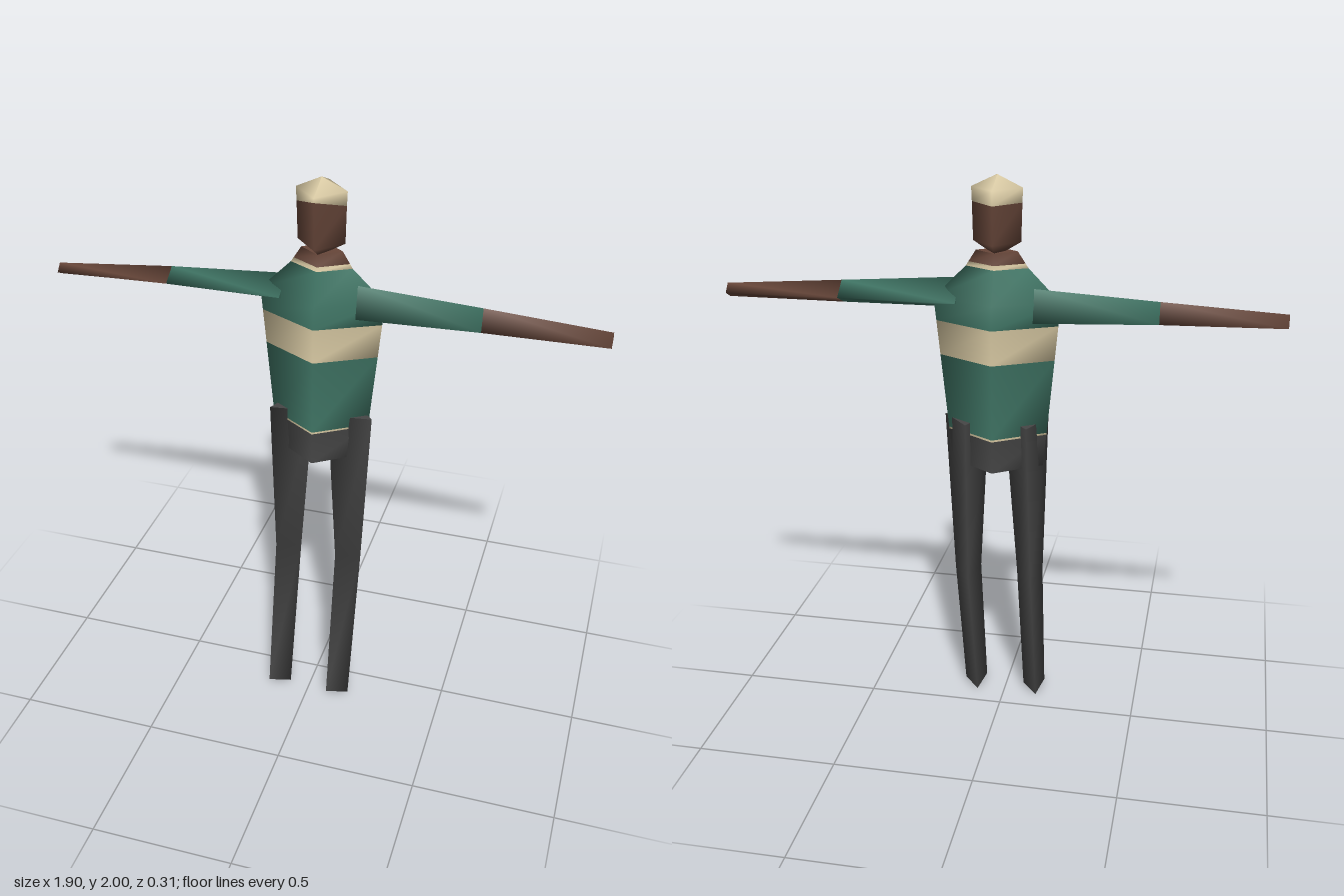
import * as THREE from 'three';

const mat = (name, color) => {
  const m = new THREE.MeshStandardMaterial({ color });
  m.name = name;
  return m;
};

// Skin over equal-sized rings of [x, y, z], ordered counter-clockwise seen from the far end.
// Sides share vertices (smooth); caps have their own (flat).
function loft(rings, capStart = false, capEnd = false) {
  const n = rings[0].length;
  const pos = rings.flat(2);
  const index = [];
  for (let r = 0; r < rings.length - 1; r++) {
    for (let i = 0; i < n; i++) {
      const a = r * n + i, b = r * n + (i + 1) % n;
      index.push(a, b, b + n, a, b + n, a + n);
    }
  }
  const cap = (ring, flip) => {
    const base = pos.length / 3;
    pos.push(...ring.flat());
    for (let i = 1; i < n - 1; i++) {
      index.push(base, base + (flip ? i + 1 : i), base + (flip ? i : i + 1));
    }
  };
  if (capStart) cap(rings[0], true);
  if (capEnd) cap(rings[rings.length - 1], false);
  const g = new THREE.BufferGeometry();
  g.setAttribute('position', new THREE.Float32BufferAttribute(pos, 3));
  g.setIndex(index);
  g.computeVertexNormals();
  return g;
}

// Diamond cross-section: half width, front z, back z
const diamond = (y, hx, f, b, yFront = y) => {
  const mid = (f + b) / 2;
  return [[0, yFront, f], [hx, y, mid], [0, y, b], [-hx, y, mid]];
};

// Torso profile: y, half width, front z, back z
const PROFILE = [
  [1.005, 0.16, 0.075, -0.145],
  [1.59, 0.215, 0.05, -0.155],
  [1.70, 0.105, 0.012, -0.105],
  [1.755, 0.07, 0, -0.1],
];
function torsoRing(y) {
  let i = 0;
  while (i < PROFILE.length - 2 && y > PROFILE[i + 1][0]) i++;
  const p = PROFILE[i], q = PROFILE[i + 1];
  const t = (y - p[0]) / (q[0] - p[0]);
  return diamond(y, ...[1, 2, 3].map((k) => p[k] + (q[k] - p[k]) * t));
}

export function createModel() {
  const model = new THREE.Group();
  const green = mat('sweater green', 0x3f7464);
  const cream = mat('cream', 0xd9caa4);
  const skin = mat('skin brown', 0x68473a);
  const grey = mat('trouser grey', 0x464646);

  const add = (name, geometry, material, parent = model) => {
    const mesh = new THREE.Mesh(geometry, material);
    mesh.name = name;
    parent.add(mesh);
  };

  // Torso, in coloured bands from hips to neck
  const torso = new THREE.Group();
  torso.name = 'torso';
  model.add(torso);
  const bands = [
    ['hips', grey, [1.005, 1.12]],
    ['hemLine', cream, [1.12, 1.127]],
    ['sweaterLower', green, [1.127, 1.39]],
    ['chestStripe', cream, [1.39, 1.51]],
    ['sweaterUpper', green, [1.51, 1.59, 1.70]],
    ['collar', cream, [1.70, 1.715]],
    ['neck', skin, [1.715, 1.755]],
  ];
  bands.forEach(([name, material, ys], i) => {
    add(name, loft(ys.map(torsoRing), i === 0, i === bands.length - 1), material, torso);
  });

  // Head: tapered chin, straight sides, pointed crown with a raised hairline in front
  const head = new THREE.Group();
  head.name = 'head';
  model.add(head);
  const hairline = diamond(1.912, 0.083, 0.042, -0.132, 1.945);
  add('face', loft([
    diamond(1.755, 0.03, 0, -0.095),
    diamond(1.785, 0.08, 0.042, -0.13),
    hairline,
  ], true), skin, head);
  add('hair', loft([
    hairline,
    diamond(1.96, 0.085, 0.043, -0.134),
    diamond(2.0, 0.001, -0.043, -0.045),
  ], false, true), cream, head);

  // Arms: three-sided, tapering from shoulder to hand; each row is [y, z] per corner
  const arms = [
    ['leftArm', 1, [
      [[1.655, -0.02], [1.545, 0.005], [1.585, -0.108]],
      [[1.628, -0.03], [1.548, -0.015], [1.58, -0.087]],
      [[1.6, -0.035], [1.55, -0.022], [1.57, -0.058]],
    ]],
    ['rightArm', -1, [
      [[1.64, -0.08], [1.53, -0.105], [1.59, 0.01]],
      [[1.615, -0.072], [1.542, -0.085], [1.575, -0.015]],
      [[1.587, -0.045], [1.542, -0.055], [1.56, -0.022]],
    ]],
  ];
  for (const [name, side, rows] of arms) {
    const arm = new THREE.Group();
    arm.name = name;
    model.add(arm);
    const xs = [0.13, 0.54, 0.95];
    const rings = rows.map((row, i) => row.map(([y, z]) => [side * xs[i], y, z]));
    add('sleeve', loft(rings.slice(0, 2), true), green, arm);
    add('forearm', loft(rings.slice(1), false, true), skin, arm);
  }

  // Legs: three-sided, bent at the knee, the same shape placed twice
  const legRings = [
    [[-0.035, 0.025, 0.155], [0.043, 0.018, 0.128], [-0.012, 0, 0.08]],
    [[-0.043, 0.575, 0.015], [0.047, 0.575, -0.008], [-0.015, 0.565, -0.085]],
    [[-0.072, 1.165, 0.008], [0.078, 1.165, -0.012], [-0.015, 1.165, -0.12]],
  ];
  for (const [name, knee, top] of [['rightLeg', -0.113, -0.098], ['leftLeg', 0.115, 0.112]]) {
    const cx = [knee, knee, top];
    const rings = legRings.map((ring, i) => ring.map(([x, y, z]) => [x + cx[i], y, z]));
    add(name, loft(rings, true, true), grey);
  }

  return model;
}
